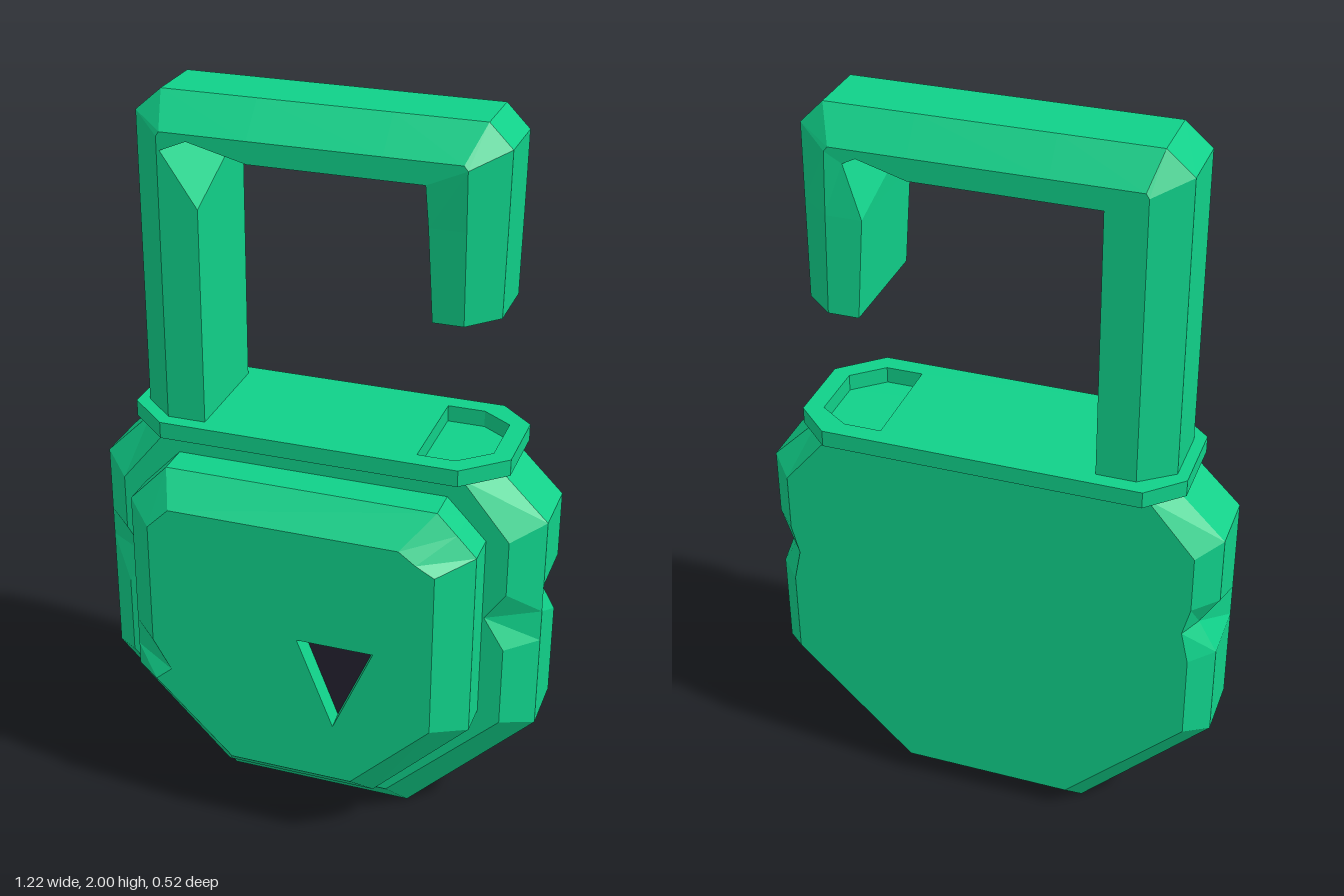
import * as THREE from 'three';

const green = new THREE.MeshStandardMaterial({ color: 0x10d089 });
green.name = 'emerald green';
const dark = new THREE.MeshStandardMaterial({ color: 0x23202e });
dark.name = 'dark keyhole';

const V = (x, y, z) => new THREE.Vector3(x, y, z);
const ringAt = (pts, z) => pts.map(([x, y]) => V(x, y, z));
const shapeOf = (pts) => new THREE.Shape(pts.map(([x, y]) => new THREE.Vector2(x, y)));

// Faceted skin over matching rings, with optional end caps
function loft(rings, { start = true, end = true, flip = false } = {}) {
  const pos = [];
  const tri = (a, b, c) => {
    const area = b.clone().sub(a).cross(c.clone().sub(a)).length();
    if (area < 1e-7) return;
    for (const p of flip ? [a, c, b] : [a, b, c]) pos.push(p.x, p.y, p.z);
  };
  const n = rings[0].length;
  for (let r = 0; r + 1 < rings.length; r++) {
    for (let i = 0; i < n; i++) {
      const j = (i + 1) % n, a = rings[r], b = rings[r + 1];
      tri(a[i], a[j], b[j]);
      tri(a[i], b[j], b[i]);
    }
  }
  const cap = (ring, reverse) => {
    const c = V(0, 0, 0);
    ring.forEach((p) => c.addScaledVector(p, 1 / n));
    ring.forEach((p, i) => {
      const q = ring[(i + 1) % n];
      reverse ? tri(c, q, p) : tri(c, p, q);
    });
  };
  if (start) cap(rings[0], true);
  if (end) cap(rings[rings.length - 1], false);
  const g = new THREE.BufferGeometry();
  g.setAttribute('position', new THREE.Float32BufferAttribute(pos, 3));
  g.computeVertexNormals();
  return g;
}

function add(group, name, geometry, material = green) {
  const mesh = new THREE.Mesh(geometry, material);
  mesh.name = name;
  group.add(mesh);
  return mesh;
}

// Right half of an outline, bottom to top, completed by its mirror image
const mirrored = (half) => [...half, ...half.map(([x, y]) => [-x, y]).reverse()];

function bodyGeometry() {
  const outline = (bx, by, sx, sy, chipX, shoulderY, topX) => mirrored([
    [bx, by], [sx, sy], [sx, 0.62], [chipX, 0.71], [sx, 0.79], [sx, shoulderY], [topX, 1.105],
  ]);
  return loft([
    ringAt(outline(0.23, 0.065, 0.55, 0.38, 0.53, 0.95, 0.42), -0.22),
    ringAt(outline(0.26, 0, 0.61, 0.355, 0.56, 0.975, 0.48), -0.155),
    ringAt(outline(0.26, 0, 0.61, 0.355, 0.61, 0.975, 0.48), 0.01),
    ringAt(outline(0.22, 0.085, 0.53, 0.39, 0.475, 0.945, 0.4), 0.09),
  ]);
}

// Raised front plate with a recessed triangular keyhole
function addPlate(group) {
  const outer = [
    [0.21, 0.15], [0.47, 0.415], [0.47, 0.94], [0.418, 0.995], [0.365, 1.05],
    [-0.365, 1.05], [-0.47, 0.94], [-0.47, 0.56], [-0.47, 0.48], [-0.47, 0.415], [-0.21, 0.15],
  ];
  const inner = [
    [0.17, 0.225], [0.385, 0.44], [0.385, 0.91], [0.335, 0.937], [0.29, 0.97],
    [-0.33, 0.97], [-0.39, 0.91], [-0.39, 0.56], [-0.34, 0.475], [-0.385, 0.435], [-0.17, 0.225],
  ];
  const hole = [[0.12, 0.395], [0.228, 0.648], [0.02, 0.648]];
  const floor = [[0.12, 0.405], [0.222, 0.643], [0.027, 0.643]];

  add(group, 'plateRim', loft(
    [ringAt(outer, 0.08), ringAt(outer, 0.18), ringAt(inner, 0.26)], { end: false }));
  const face = shapeOf(inner);
  face.holes.push(shapeOf(hole));
  add(group, 'plateFace', new THREE.ShapeGeometry(face)).position.z = 0.26;
  add(group, 'keyholeWalls', loft(
    [ringAt(floor, 0.215), ringAt(hole, 0.26)], { start: false, end: false, flip: true }));
  add(group, 'keyhole', new THREE.ShapeGeometry(shapeOf(floor))).position.z = 0.215;
  group.children.at(-1).material = dark;
}

// Flat collar with an empty socket for the open end of the shackle
function collarGeometry() {
  const shape = shapeOf([
    [-0.4, -0.13], [0.4, -0.13], [0.51, -0.03], [0.51, 0.175],
    [0.42, 0.26], [-0.42, 0.26], [-0.51, 0.175], [-0.51, -0.03],
  ]);
  shape.holes.push(shapeOf([
    [0.28, -0.08], [0.38, -0.08], [0.46, -0.01], [0.46, 0.155], [0.38, 0.21], [0.28, 0.21],
  ]));
  const g = new THREE.ExtrudeGeometry(shape, { depth: 0.045, bevelEnabled: false });
  g.rotateX(-Math.PI / 2);
  g.translate(0, 1.105, 0);
  return g;
}

// Open shackle: each station gives inner, chamfer edge and outer points,
// plus optional chipped inner points and a backward shift
function shackleGeometry() {
  const stations = [
    { inner: [-0.29, 1.1], edge: [-0.393, 1.1], outer: [-0.48, 1.1] },
    { inner: [-0.29, 1.73], edge: [-0.393, 1.73], outer: [-0.48, 1.73] },
    { inner: [-0.29, 1.86], edge: [-0.393, 1.905], outer: [-0.48, 1.94], front: [-0.385, 1.87] },
    { inner: [-0.29, 1.86], edge: [-0.385, 1.917], outer: [-0.41, 2], front: [-0.29, 1.91] },
    { inner: [-0.16, 1.86], edge: [-0.16, 1.917], outer: [-0.16, 2] },
    { inner: [0.18, 1.86], edge: [0.18, 1.917], outer: [0.18, 2] },
    { inner: [0.285, 1.86], edge: [0.375, 1.917], outer: [0.41, 2], back: [0.3, 1.9] },
    { inner: [0.285, 1.86], edge: [0.385, 1.905], outer: [0.47, 1.94], back: [0.34, 1.88] },
    { inner: [0.29, 1.75], edge: [0.383, 1.75], outer: [0.464, 1.75], shift: -0.017 },
    { inner: [0.3, 1.5], edge: [0.38, 1.5], outer: [0.455, 1.5], shift: -0.04 },
  ];
  return loft(stations.map(({ inner, edge, outer, front = inner, back = inner, shift = 0 }) => [
    V(...front, 0.09 + shift), V(...back, -0.22 + shift), V(...edge, -0.22 + shift),
    V(...outer, -0.155 + shift), V(...outer, 0.01 + shift), V(...edge, 0.09 + shift),
  ]));
}

export function createModel() {
  const lock = new THREE.Group();
  lock.name = 'openPadlock';
  add(lock, 'body', bodyGeometry());
  const plate = new THREE.Group();
  plate.name = 'frontPlate';
  addPlate(plate);
  lock.add(plate);
  add(lock, 'collar', collarGeometry());
  add(lock, 'shackle', shackleGeometry());
  return lock;
}
